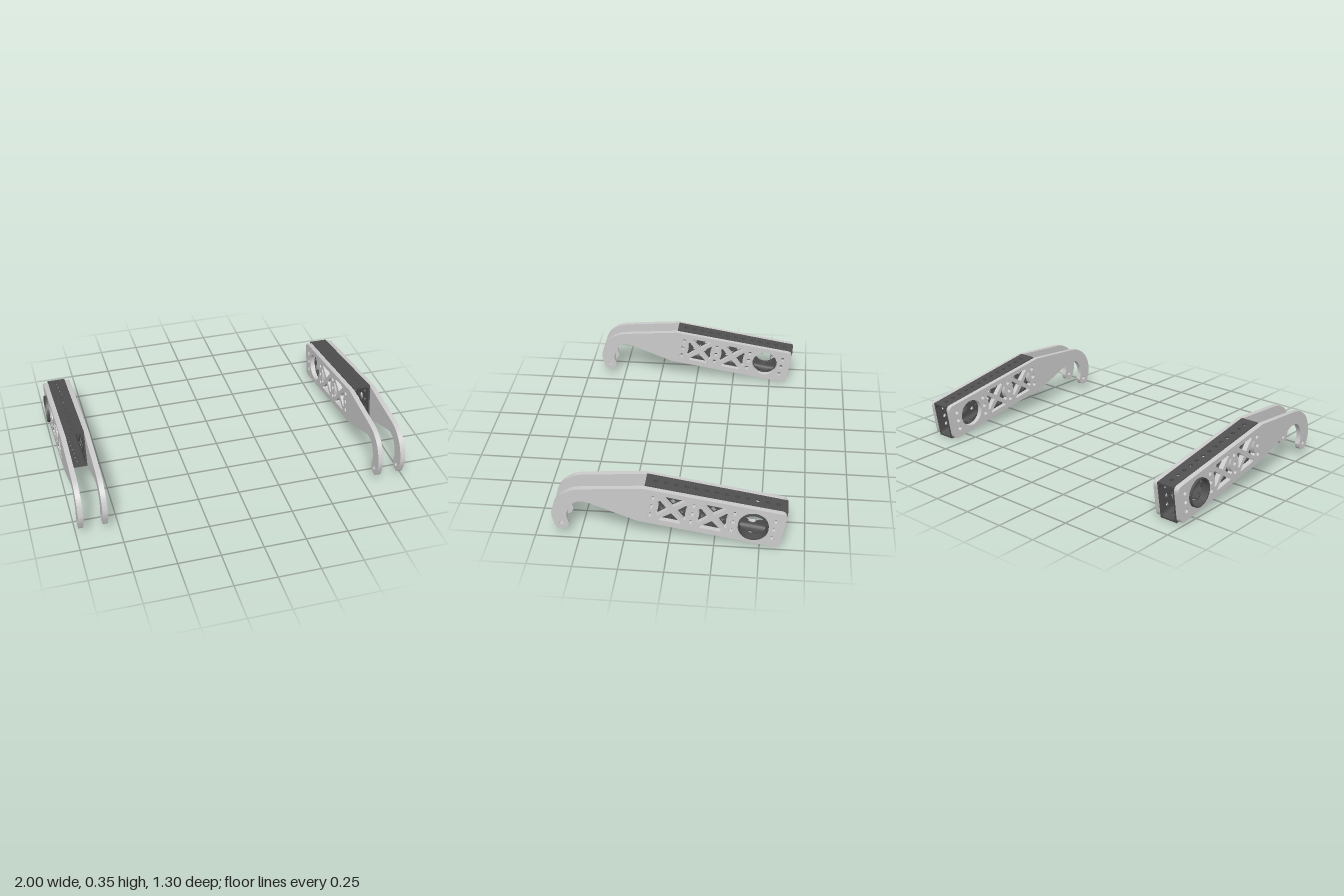
import * as THREE from 'three';
import { toCreasedNormals } from 'three/addons/utils/BufferGeometryUtils.js';

const TILT = 0.1655;              // slope of the tube
const BACK = [-0.613, 0.005];     // lower back corner of the tube (z, y)
const P = 0.0567;                 // hole pitch
const LEN = 14 * P, HEIGHT = 4 * P, HALF = 0.055, WALL = 0.01;

const grey = new THREE.MeshStandardMaterial({ color: 0xcccccc });
const dark = new THREE.MeshStandardMaterial({ color: 0x505050 });

// Side-view point (z, y) to tube coordinates (along, up)
function local([z, y]) {
  const dz = z - BACK[0], dy = y - BACK[1], c = Math.cos(TILT), s = Math.sin(TILT);
  return new THREE.Vector2(dz * c + dy * s, dy * c - dz * s);
}

const circle = (u, v, r) => new THREE.Path().absarc(u, v, r, 0, Math.PI * 2, true);
const polygon = (pts) => new THREE.Path(pts.map(([u, v]) => new THREE.Vector2(u, v)));

// Extrudes a side-view shape sideways, starting at x0
function slab(shape, x0, depth, segments = 8) {
  const geo = new THREE.ExtrudeGeometry(shape, { depth, bevelEnabled: false, curveSegments: segments });
  geo.rotateY(-Math.PI / 2).translate(x0 + depth, 0, 0);
  return toCreasedNormals(geo, 0.6);
}

function part(name, geo, material) {
  const mesh = new THREE.Mesh(geo, material);
  mesh.name = name;
  return mesh;
}

// Four triangular openings around each X brace
function braceWindows(upper, side) {
  const paths = [];
  for (const k of [7, 11]) {
    for (const s of [1, -1]) {
      paths.push(polygon(upper.map(([u, v]) => [k * P + u, 2 * P + s * v])));
      paths.push(polygon(side.map(([u, v]) => [k * P + s * u, 2 * P + v])));
    }
  }
  return paths;
}

function boltHoles() {
  const paths = [];
  for (const k of [1, 5, 9, 13]) for (const j of [1, 2, 3]) paths.push(circle(k * P, j * P, 0.0135));
  return paths;
}

// Hooked side plate
function plateShape() {
  const shape = new THREE.Shape();
  const line = (p) => { const q = local(p); shape.lineTo(q.x, q.y); };
  const curve = (pts) => shape.splineThru(pts.map(local));
  const r = 0.034;
  shape.moveTo(r, 0);
  line([0.173, 0.134]);
  line([0.44, 0.238]);
  curve([[0.476, 0.246], [0.522, 0.236], [0.557, 0.194], [0.569, 0.14], [0.558, 0.092]]);
  curve([[0.57, 0.062], [0.6, 0.05], [0.628, 0.06], [0.641, 0.09]]);
  curve([[0.651, 0.124], [0.653, 0.166], [0.634, 0.229], [0.6, 0.277], [0.546, 0.313], [0.494, 0.327]]);
  line([0.14, 0.354]);
  shape.lineTo(r, HEIGHT);
  shape.quadraticCurveTo(0, HEIGHT, 0.002, HEIGHT - r);
  shape.lineTo(0.002, r);
  shape.quadraticCurveTo(0.002, 0, r, 0);
  const eye = local([0.6, 0.092]);
  shape.holes.push(circle(eye.x, eye.y, 0.012), circle(3 * P, 2 * P, 0.0845), ...boltHoles(),
    ...braceWindows(
      [[0, 0.02], [0.064, 0.074], [0.06, 0.081], [-0.06, 0.081], [-0.064, 0.074]],
      [[0.022, 0], [0.072, 0.05], [0.086, 0.042], [0.077, 0.02], [0.075, 0], [0.077, -0.02], [0.086, -0.042], [0.072, -0.05]]));
  return shape;
}

function rectangle(u0, v0, u1, v1) {
  return new THREE.Shape([[u0, v0], [u1, v0], [u1, v1], [u0, v1]].map(([u, v]) => new THREE.Vector2(u, v)));
}

// Tube side wall, with scalloped windows and a six-lobed bore
function tubeSideShape() {
  const shape = rectangle(0, 0, LEN, HEIGHT);
  const bore = [];
  for (let i = 0; i < 6; i++) {
    for (const [da, r] of [[-0.2, 0.068], [0.2, 0.068], [0.29, 0.079], [0.525, 0.08], [0.75, 0.079]]) {
      const a = i * Math.PI / 3 + da;
      bore.push([3 * P + r * Math.cos(a), 2 * P + r * Math.sin(a)]);
    }
  }
  const top = [[0.05, 0.06], [0.042, 0.068], [0.032, 0.071], [0.023, 0.06], [0.014, 0.06], [0.007, 0.069]];
  shape.holes.push(polygon(bore), ...boltHoles(), ...braceWindows(
    [[0, 0.02], ...top, ...top.slice().reverse().map(([u, v]) => [-u, v])],
    [[0.022, 0], [0.06, 0.036], [0.064, 0.024], [0.075, 0.018], [0.075, -0.018], [0.064, -0.024], [0.06, -0.036]]));
  return shape;
}

// Hollow perforated rectangular tube with filleted inner corners
function tube() {
  const group = new THREE.Group();
  group.name = 'perforatedTube';
  const side = tubeSideShape();
  group.add(part('tubeSide', slab(side, HALF - WALL, WALL), dark));
  group.add(part('tubeSide', slab(side, -HALF, WALL), dark));

  const inner = HALF - WALL;
  const cap = rectangle(0, -inner, LEN, inner);
  for (let k = 1; k <= 13; k++) cap.holes.push(circle(k * P, 0, 0.0125));
  for (const y of [0, HEIGHT - WALL]) {
    const geo = slab(cap, 0, WALL).rotateZ(Math.PI / 2);
    group.add(part(y ? 'tubeTop' : 'tubeBottom', geo.translate(0, y, 0), dark));
  }

  const r = 0.024;
  for (const sx of [1, -1]) {
    for (const sy of [1, -1]) {
      const x = sx * inner, y = HEIGHT / 2 + sy * (HEIGHT / 2 - WALL);
      const fillet = new THREE.Shape();
      fillet.moveTo(x, y);
      fillet.lineTo(x - sx * r, y);
      fillet.quadraticCurveTo(x, y, x, y - sy * r);
      const geo = new THREE.ExtrudeGeometry(fillet, { depth: LEN, bevelEnabled: false, curveSegments: 4 });
      group.add(part('tubeInnerFillet', toCreasedNormals(geo, 0.6), dark));
    }
  }
  return group;
}

// One arm; side is +1 for left and -1 for right
function arm(side) {
  const group = new THREE.Group();
  group.name = side > 0 ? 'leftArm' : 'rightArm';
  group.position.set(side * 0.9, BACK[1], BACK[0]);
  group.rotation.x = -TILT;

  const plate = plateShape();
  group.add(tube());
  group.add(part('outerHookPlate', slab(plate, side > 0 ? HALF : -0.085, 0.03), grey));
  group.add(part('innerHookPlate', slab(plate, side > 0 ? -0.085 : HALF, 0.03), grey));

  // Bearing ring standing proud of the outer plate
  const ring = new THREE.Shape().absarc(3 * P, 2 * P, 0.0845, 0, Math.PI * 2, false);
  ring.holes.push(circle(3 * P, 2 * P, 0.078));
  group.add(part('bearingRing', slab(ring, side > 0 ? HALF : -0.1, 0.045, 24), dark));
  return group;
}

export function createModel() {
  const model = new THREE.Group();
  model.name = 'hookArms';
  model.add(arm(1), arm(-1));
  return model;
}
